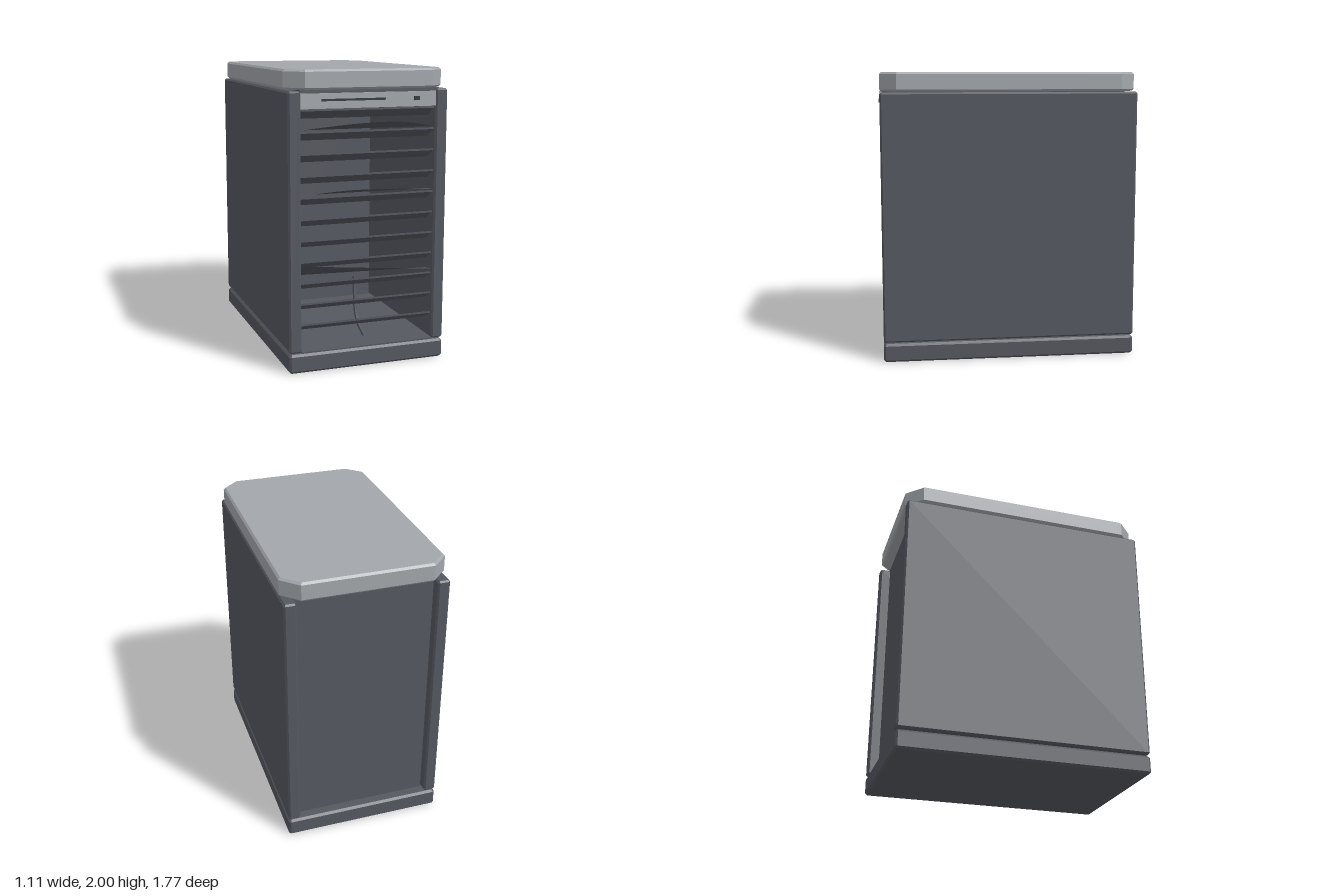
import * as THREE from 'three';

const mat = (name, color, side = THREE.FrontSide) => {
  const m = new THREE.MeshStandardMaterial({ color, side, flatShading: true });
  m.name = name;
  return m;
};

// Slab lying flat with cut corners and bevelled top and bottom edges, centred on the origin
function slab(w, h, d, cut, bevel) {
  const x = w / 2 - bevel, y = d / 2 - bevel, c = cut;
  const shape = new THREE.Shape([
    [x - c, -y], [x, -y + c], [x, y - c], [x - c, y],
    [-x + c, y], [-x, y - c], [-x, -y + c], [-x + c, -y],
  ].map(p => new THREE.Vector2(...p)));
  const g = new THREE.ExtrudeGeometry(shape, {
    depth: h - 2 * bevel, bevelEnabled: true, bevelSize: bevel,
    bevelThickness: bevel, bevelSegments: 1,
  });
  return g.translate(0, 0, bevel - h / 2).rotateX(-Math.PI / 2);
}

export function createModel() {
  const group = new THREE.Group();
  const body = mat('slate body', 0x555860);
  const light = mat('light grey', 0xa3a7ab);
  const dark = mat('dark slot', 0x33353a);
  const sheet = mat('slate sheet', 0x505259, THREE.DoubleSide);

  const add = (name, geo, material, x = 0, y = 0, z = 0) => {
    const m = new THREE.Mesh(geo, material);
    m.name = name;
    m.position.set(x, y, z);
    group.add(m);
    return m;
  };
  const box = (w, h, d) => new THREE.BoxGeometry(w, h, d);

  // Plinth and lid
  add('base', slab(1.11, 0.13, 1.77, 0.005, 0.015), body, 0, 0.065);
  add('lid', slab(1.11, 0.13, 1.77, 0.105, 0.014), light, 0, 1.935);

  // Side panels, standing on edge
  const panel = slab(1.725, 0.085, 1.77, 0.004, 0.012).rotateZ(Math.PI / 2);
  for (const s of [-1, 1])
    add(s > 0 ? 'leftPanel' : 'rightPanel', panel, body, s * 0.5125, 1.0025);

  // Closed rear compartment, floor and ceiling
  add('rearCompartment', box(0.95, 1.74, 0.52), body, 0, 1.0, -0.55);
  add('floor', box(0.93, 0.012, 1.16), body, 0, 0.134, 0.29);
  add('ceiling', box(0.95, 0.025, 1.68), body, 0, 1.862, 0.03);

  // Control strip with slot and button
  add('controlStrip', box(0.94, 0.098, 0.05), light, 0, 1.8, 0.855);
  add('slot', box(0.44, 0.014, 0.008), dark, -0.11, 1.806, 0.882);
  add('button', box(0.04, 0.026, 0.012), dark, 0.33, 1.804, 0.884);

  // Louvres: front edge high, sloping down toward the back
  const profile = new THREE.Shape([
    [0, 0], [0, 0.013], [-0.1, -0.042], [-0.1, -0.055],
  ].map(([z, y]) => new THREE.Vector2(-z, y)));
  const louvre = new THREE.ExtrudeGeometry(profile, { depth: 0.94, bevelEnabled: false });
  louvre.translate(0, 0, -0.47).rotateY(Math.PI / 2);
  for (let i = 0; i < 11; i++)
    add('louvre' + (i + 1), louvre, body, 0, 1.735 - i * 0.142, 0.855);

  // Warped thin strips between the louvres: front and back edge heights follow x
  const strip = (name, front, back) => {
    const g = new THREE.PlaneGeometry(0.94, 1, 16, 1);
    const p = g.attributes.position;
    for (let i = 0; i < p.count; i++) {
      const x = p.getX(i), isFront = p.getY(i) > 0;
      p.setXYZ(i, x, (isFront ? front : back)(x), isFront ? 0.85 : 0.77);
    }
    g.computeVertexNormals();
    add(name, g, sheet);
  };
  const bump = (x, peak, h) => {
    const t = x < peak ? (x + 0.47) / (peak + 0.47) : (0.47 - x) / (0.47 - peak);
    return h * Math.sin(t * Math.PI / 2);
  };
  strip('upperBentStrip', x => 1.612 + bump(x, 0.16, 0.04), () => 1.606);
  strip('middleBentStrip', x => 1.185 + bump(x, -0.08, 0.024), () => 1.18);
  strip('lowerBentStrip', x => 0.675 - x * 0.1, x => 0.632 - x * 0.025);

  // Loose cable hanging down to the floor
  const path = new THREE.CatmullRomCurve3([
    [0, 0.56, 0.61], [0, 0.44, 0.62], [0, 0.32, 0.64], [0.01, 0.24, 0.66], [0.05, 0.145, 0.68],
  ].map(p => new THREE.Vector3(...p)));
  add('cable', new THREE.TubeGeometry(path, 16, 0.013, 6), body);

  return group;
}
